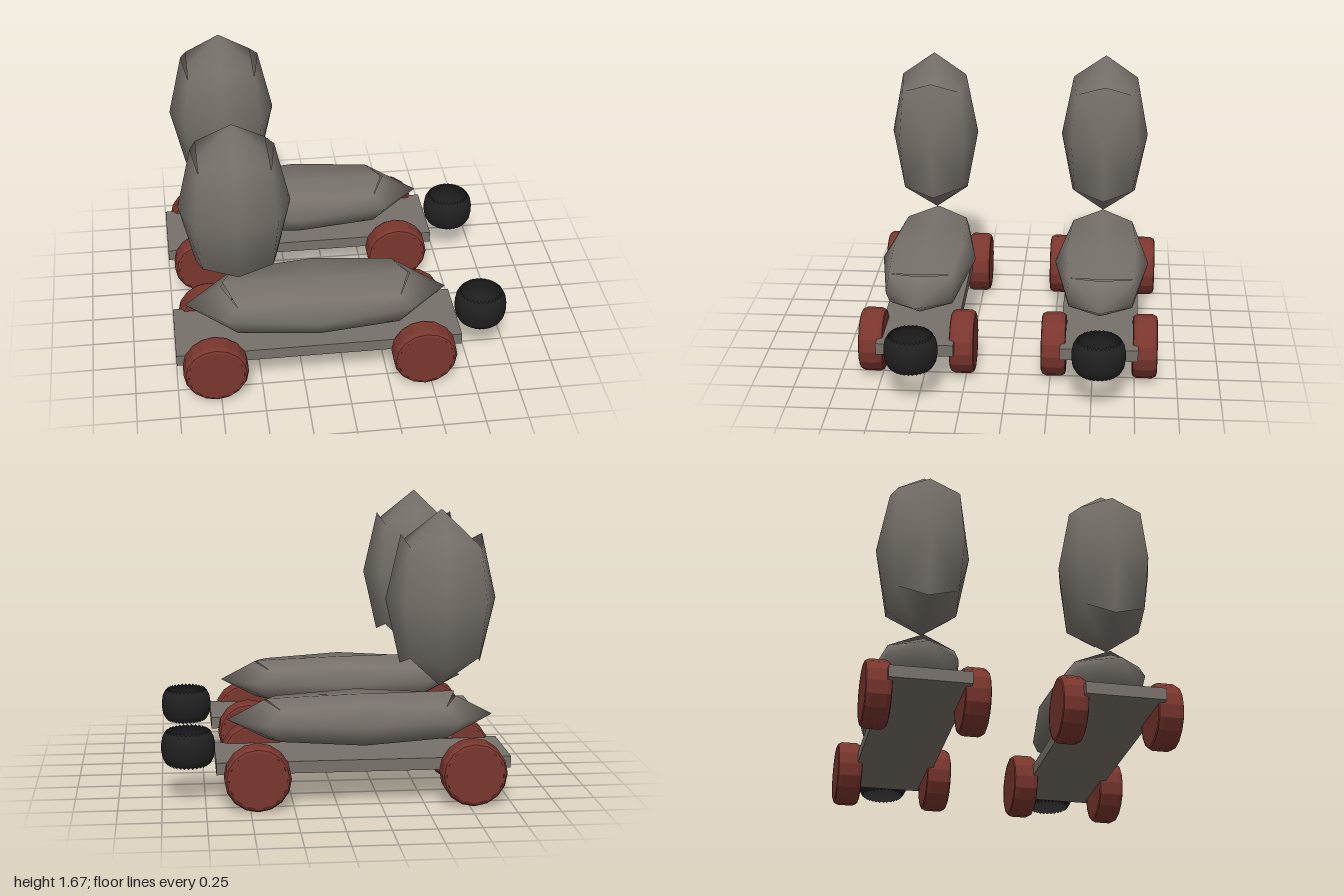
import * as THREE from 'three';
import { mergeVertices } from 'three/addons/utils/BufferGeometryUtils.js';

const material = (name, color, side = THREE.FrontSide) =>
  Object.assign(new THREE.MeshStandardMaterial({ color, side }), { name });

// Each panel is a fan of eight triangles from its raised middle to corners and edge midpoints.
const RING = [[-1, -1], [0, -1], [1, -1], [1, 0], [1, 1], [0, 1], [-1, 1], [-1, 0]];

// Six inflated panels; the upper and lower ones have their own end edges, leaving open seams.
// mids[k] is the edge midpoint whose coordinate on axis k is zero.
function pillowGeometry({ tip, corner, mids, endMid, lift = 0 }) {
  const pos = [];
  for (let a = 0; a < 3; a++) {
    const u = (a + 1) % 3, v = (a + 2) % 3;
    for (const s of [-1, 1]) {
      const point = (i, j) => {
        const sign = [0, 0, 0];
        sign[a] = s; sign[u] = i; sign[v] = j;
        let src = corner;
        if (!i && !j) src = tip;
        else if (!i || !j) {
          const zero = !i ? u : v;
          src = a === 1 && zero === 2 ? endMid : mids[zero];
        }
        const p = src.map((c, k) => c * sign[k]);
        if (src === endMid && sign[0] < 0) p[1] += s * lift;
        return p;
      };
      RING.forEach((r, k) => {
        const p = point(...r), q = point(...RING[(k + 1) % 8]);
        pos.push(...point(0, 0), ...(s > 0 ? p : q), ...(s > 0 ? q : p));
      });
    }
  }
  const geo = new THREE.BufferGeometry();
  geo.setAttribute('position', new THREE.Float32BufferAttribute(pos, 3));
  const merged = mergeVertices(geo, 1e-4);
  merged.computeVertexNormals();
  return merged;
}

const lathe = (points, n) =>
  new THREE.LatheGeometry(points.map(p => new THREE.Vector2(...p)), n);

// Open barrel whose rims zigzag into fine teeth
function toothedRing() {
  const rows = [[0.115, -0.107], [0.132, -0.09], [0.148, -0.06], [0.155, -0.02],
    [0.155, 0.02], [0.148, 0.06], [0.132, 0.09], [0.115, 0.107]];
  const geo = lathe(rows, 64), p = geo.attributes.position, n = rows.length;
  for (let k = 0; k < p.count; k++) {
    const row = k % n, column = Math.floor(k / n);
    if ((row === 0 || row === n - 1) && column % 2) {
      p.setXYZ(k, p.getX(k) * 1.13, p.getY(k) * 0.86, p.getZ(k) * 1.13);
    }
  }
  return geo;
}

export function createModel() {
  const stone = material('warm grey', 0x77716a);
  const fabric = material('warm grey shell', 0x77716a, THREE.DoubleSide);
  const red = material('brick red', 0x7a362e, THREE.DoubleSide);
  const black = material('black', 0x202020, THREE.DoubleSide);

  const model = new THREE.Group();
  const cart = new THREE.Group();
  const add = (parent, name, geo, mat, x, y, z) => {
    const mesh = new THREE.Mesh(geo, mat);
    mesh.name = name;
    mesh.position.set(x, y, z);
    parent.add(mesh);
    return mesh;
  };

  // Flat base board
  add(cart, 'baseBoard', new THREE.BoxGeometry(1.69, 0.07, 0.456), stone, -0.155, 0.235, 0);

  // Long seat cushion
  add(cart, 'seatCushion', pillowGeometry({
    tip: [0.775, 0.135, 0.29],
    corner: [0.475, 0.092, 0.19],
    mids: [[0, 0.118, 0.215], [0.555, 0, 0.2], [0.56, 0.112, 0]],
    endMid: [0.55, 0.118, 0], lift: 0.025,
  }), fabric, -0.155, 0.467, 0);

  // Upright cushion floating over the rear end
  add(cart, 'backCushion', pillowGeometry({
    tip: [0.32, 0.515, 0.272],
    corner: [0.2, 0.315, 0.18],
    mids: [[0, 0.375, 0.2], [0.235, 0, 0.205], [0.235, 0.375, 0]],
    endMid: [0.2, 0.315, 0],
  }), fabric, -0.617, 1.157, 0);

  // Wheels: faceted rounded tyre with a separate hub disc on each side
  const tyre = lathe([[0.165, -0.073], [0.178, -0.068], [0.19, -0.045],
    [0.19, 0.045], [0.178, 0.068], [0.165, 0.073]], 16).toNonIndexed();
  tyre.computeVertexNormals();
  const hub = new THREE.CylinderGeometry(0.166, 0.166, 0.142, 14);
  for (const x of [-0.775, 0.458]) {
    for (const side of [-1, 1]) {
      const wheel = new THREE.Group();
      wheel.name = (x < 0 ? 'rear' : 'front') + 'Wheel';
      add(wheel, 'tyre', tyre, red, 0, 0, 0);
      add(wheel, 'hub', hub, red, 0, 0, 0);
      wheel.rotation.x = Math.PI / 2;
      wheel.position.set(x, 0.192, side * 0.269);
      cart.add(wheel);
    }
  }

  // Toothed ring ahead of the board
  add(cart, 'toothedRing', toothedRing(), black, 0.845, 0.31, 0);

  // Two identical carts side by side
  for (const z of [-0.539, 0.539]) {
    const copy = cart.clone();
    copy.name = z > 0 ? 'nearCart' : 'farCart';
    copy.position.z = z;
    model.add(copy);
  }
  return model;
}
